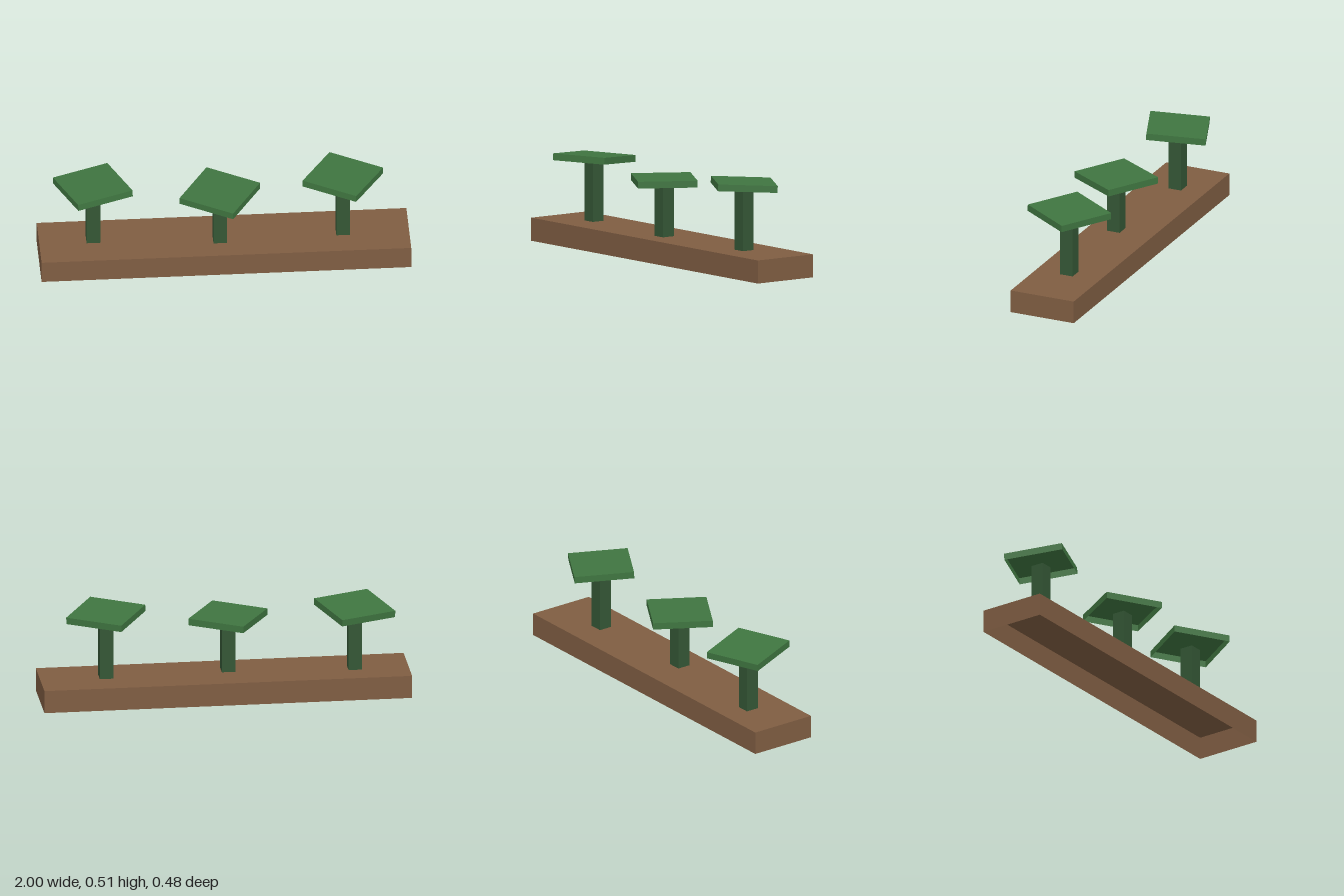
import * as THREE from 'three';

// Box with no underside, standing on y = 0
function openBox(w, h, d) {
  const g = new THREE.BoxGeometry(w, h, d).translate(0, h / 2, 0);
  const index = Array.from(g.index.array);
  index.splice(18, 6); // the -y face
  g.setIndex(index);
  g.clearGroups();
  return g;
}

export function createModel() {
  const mat = (name, color) =>
    new THREE.MeshStandardMaterial({ name, color, side: THREE.DoubleSide });
  const soil = mat('brown', 0x7f5d42);
  const stem = mat('dark green', 0x345635);
  const leaf = mat('green', 0x3f7540);

  const model = new THREE.Group();
  model.name = 'planter';

  const add = (parent, name, geometry, material, x, y, z) => {
    const mesh = new THREE.Mesh(geometry, material);
    mesh.name = name;
    mesh.position.set(x, y, z);
    parent.add(mesh);
    return mesh;
  };

  // Hollow trough
  const top = 0.126;
  add(model, 'trough', openBox(2, top, 0.375), soil, 0, 0, -0.0145);

  // Plants: square stem with a turned, slightly tilted cap
  const capGeometry = openBox(0.324, 0.037, 0.324);
  const plants = [
    { x: -0.708, z: -0.03, y: 0.451, turn: 21, tilt: -4.4 },
    { x: -0.025, z: 0.019, y: 0.411, turn: -30.7, tilt: 0 },
    { x: 0.642, z: -0.01, y: 0.4645, turn: -30.7, tilt: -2.7 },
  ];
  for (const { x, y, z, turn, tilt } of plants) {
    const plant = new THREE.Group();
    plant.name = 'plant';
    plant.position.set(x, 0, z);
    add(plant, 'stem', openBox(0.074, y - top, 0.074), stem, 0, top, 0);
    const cap = add(plant, 'cap', capGeometry, leaf, 0, y, 0);
    cap.rotation.set(THREE.MathUtils.degToRad(tilt), THREE.MathUtils.degToRad(turn), 0, 'YXZ');
    model.add(plant);
  }
  return model;
}
